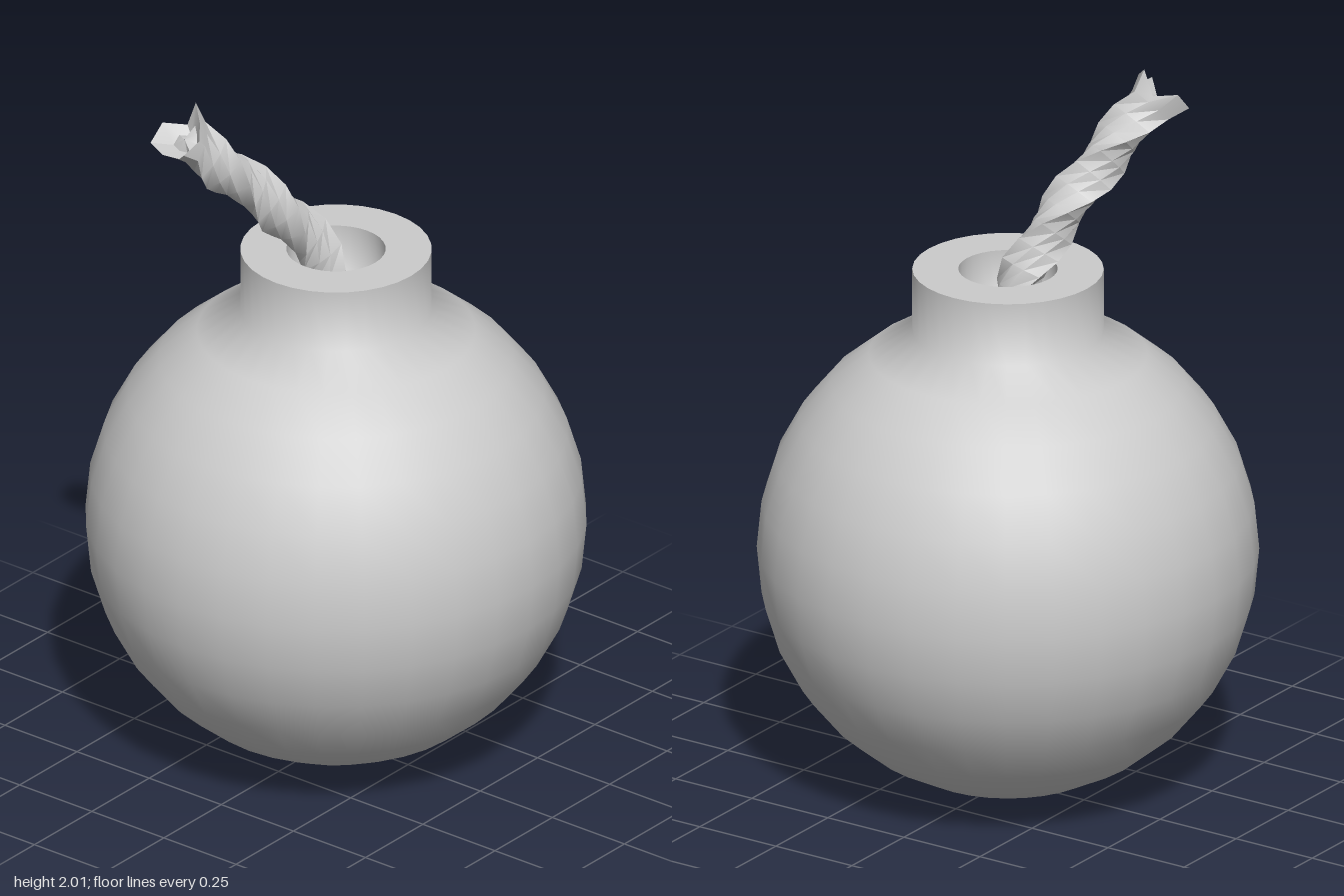
import * as THREE from 'three';
import { toCreasedNormals } from 'three/addons/utils/BufferGeometryUtils.js';

const material = new THREE.MeshStandardMaterial({ color: 0xcccccc });
const R = 0.682, CENTER_Y = 0.685, SEGMENTS = 32;

// Round body turned in one piece with its collar and the recessed fuse hole
function bodyGeometry() {
  const profile = [];
  for (let i = 0; i <= 13; i++) {
    const a = (i / 16) * Math.PI;
    profile.push(new THREE.Vector2(R * Math.sin(a), CENTER_Y - R * Math.cos(a)));
  }
  const neck = [[0.26, 1.32], [0.26, 1.5], [0.135, 1.5], [0.135, 1.36], [0, 1.31]];
  profile.push(...neck.map(([r, y]) => new THREE.Vector2(r, y)));
  return toCreasedNormals(new THREE.LatheGeometry(profile, SEGMENTS), 1.4);
}

// Three-lobed rope lofted along a curve, twisting as it goes, with a frayed tip
function fuseGeometry() {
  const path = new THREE.CatmullRomCurve3([
    [0, 1.32, -0.01], [-0.035, 1.5, 0.042], [-0.085, 1.64, 0.135],
    [-0.145, 1.78, 0.26], [-0.202, 1.905, 0.375],
  ].map(p => new THREE.Vector3(...p)));
  const rings = 12, sides = 9, twist = Math.PI * 2.1;
  const frames = path.computeFrenetFrames(rings, false);
  const positions = [], indices = [];

  function addRing(i, scale, lift, fray) {
    const t = i / rings;
    const center = path.getPointAt(t);
    for (let j = 0; j < sides; j++) {
      const a = (j / sides) * Math.PI * 2;
      const lobe = 0.061 + 0.012 * Math.cos(3 * a);
      const ragged = fray * Math.sin(j * 2.4 + 0.6);
      const r = lobe * scale + ragged * 0.5;
      const v = center.clone()
        .addScaledVector(frames.normals[i], r * Math.cos(a + twist * t))
        .addScaledVector(frames.binormals[i], r * Math.sin(a + twist * t))
        .addScaledVector(frames.tangents[i], lift + ragged);
      positions.push(v.x, v.y, v.z);
    }
  }
  for (let i = 0; i <= rings; i++) addRing(i, 1, 0, 0);
  // Frayed crown, then the hollow inside it
  addRing(rings, 1.25, 0.045, 0.025);
  addRing(rings, 0.6, 0.015, 0.012);
  addRing(rings, 0.02, 0.03, 0);

  for (let i = 0; i < rings + 3; i++) {
    for (let j = 0; j < sides; j++) {
      const k = (j + 1) % sides;
      const a = i * sides + j, b = i * sides + k;
      indices.push(a, b, b + sides, a, b + sides, a + sides);
    }
  }
  const geometry = new THREE.BufferGeometry();
  geometry.setAttribute('position', new THREE.Float32BufferAttribute(positions, 3));
  geometry.setIndex(indices);
  return toCreasedNormals(geometry, 0.7);
}

export function createModel() {
  const group = new THREE.Group();
  group.name = 'roundBomb';
  const parts = { bodyWithCollar: bodyGeometry(), fuse: fuseGeometry() };
  for (const [name, geometry] of Object.entries(parts)) {
    const mesh = new THREE.Mesh(geometry, material);
    mesh.name = name;
    group.add(mesh);
  }
  return group;
}
